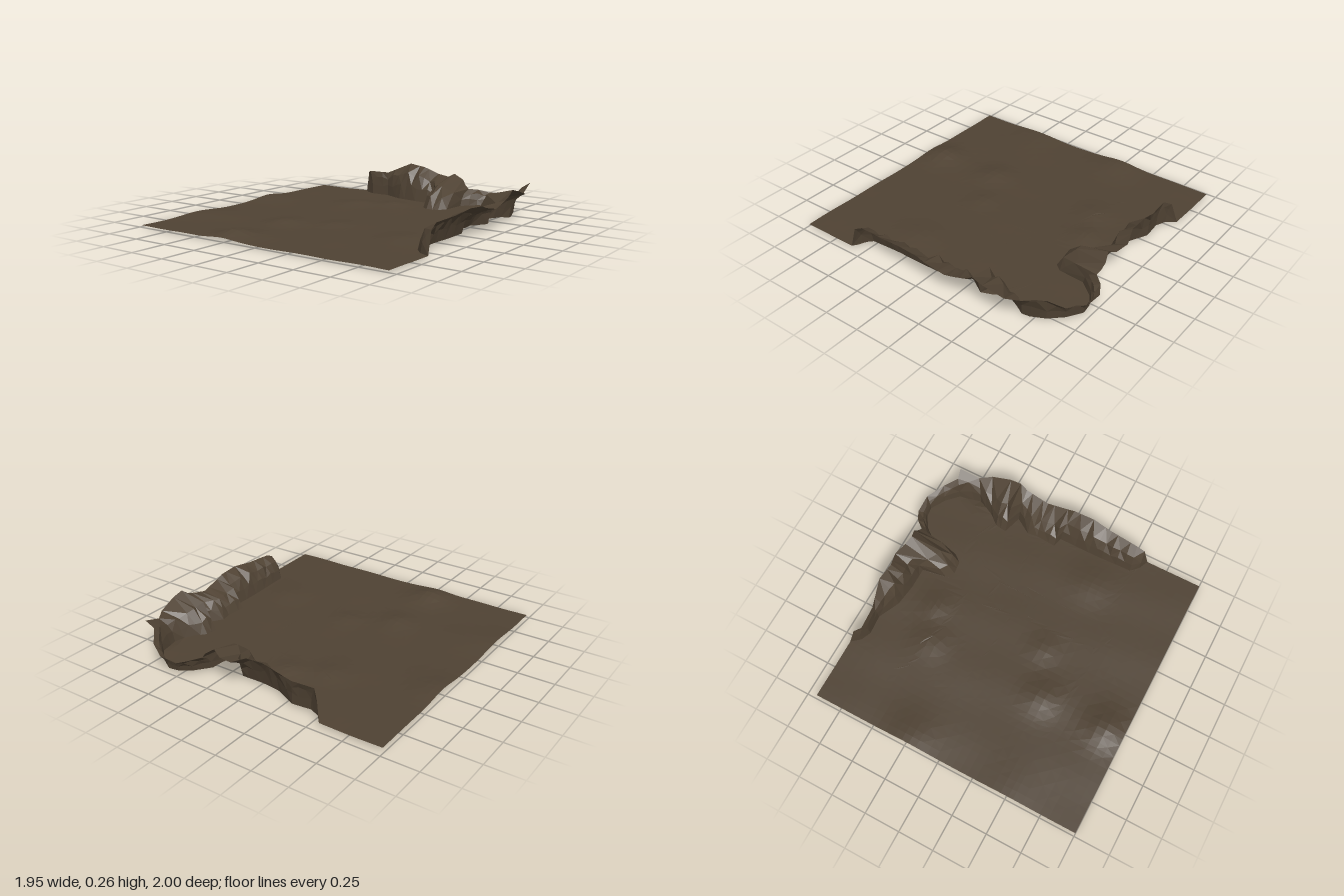
import * as THREE from 'three';

const LEFT = -0.98, FRONT = 1, STEP = 0.06;

// Back cliff stations: [foot x, foot z, rim x, rim z, rim height (0 = no cliff)]
const BACK = [
  [-0.98, -0.94, -0.98, -0.94, 0], [-0.55, -0.94, -0.55, -0.94, 0],
  [-0.5, -0.88, -0.51, -0.91, 0.18], [-0.43, -0.85, -0.47, -0.87, 0.2],
  [-0.3, -0.86, -0.31, -0.88, 0.2], [-0.15, -0.79, -0.13, -0.92, 0.28],
  [0, -0.77, 0, -0.91, 0.265], [0.15, -0.77, 0.1, -0.94, 0.22],
  [0.18, -0.6, 0.2, -0.92, 0.21], [0.23, -0.56, 0.26, -0.9, 0.24],
  [0.32, -0.57, 0.32, -0.92, 0.2], [0.36, -0.62, 0.35, -0.91, 0.16],
  [0.37, -0.8, 0.38, -0.9, 0.14], [0.45, -0.9, 0.43, -0.96, 0.13],
  [0.53, -0.95, 0.5, -1, 0.11], [0.6, -0.96, 0.63, -1, 0.12],
  [0.7, -0.9, 0.75, -0.93, 0.14], [0.78, -0.82, 0.82, -0.85, 0.2],
  [0.81, -0.72, 0.88, -0.86, 0.24],
];

// Side cliff stations, from the back corner to the front
const SIDE = [
  [0.81, -0.72, 0.88, -0.86, 0.24], [0.82, -0.67, 0.9, -0.72, 0.19],
  [0.76, -0.55, 0.95, -0.64, 0.2], [0.7, -0.48, 0.97, -0.5, 0.24],
  [0.69, -0.4, 0.965, -0.42, 0.26], [0.82, -0.36, 0.96, -0.37, 0.22],
  [0.75, -0.25, 0.96, -0.28, 0.19], [0.76, -0.18, 0.96, -0.2, 0.17],
  [0.75, -0.04, 0.97, -0.05, 0.2], [0.82, -0.02, 0.97, 0, 0.22],
  [0.82, 0.15, 0.97, 0.15, 0.23], [0.82, 0.3, 0.955, 0.3, 0.21],
  [0.83, 0.52, 0.94, 0.5, 0.2], [0.88, 0.57, 0.945, 0.56, 0.17],
  [0.95, 0.6, 0.95, 0.6, 0], [0.95, 1, 0.95, 1, 0],
];

// Low mounds and hollows in the ground: [x, z, height, radius]
const MOUNDS = [
  [-0.28, 0.87, 0.042, 0.13], [-0.28, 0.4, 0.025, 0.12], [-0.28, -0.45, 0.02, 0.12],
  [-0.05, -0.55, 0.018, 0.1], [0.6, 0.32, 0.015, 0.15], [-0.95, -0.25, 0.025, 0.16],
  [-0.92, 0.5, 0.015, 0.2], [0.02, 0.25, 0.015, 0.1], [0.85, -0.71, -0.025, 0.06],
];

function groundY(x, z) {
  let y = 0.028 + 0.003 * Math.sin(9 * x + 4 * z) * Math.cos(7 * z - 5 * x);
  for (const [mx, mz, h, r] of MOUNDS) {
    y += h * Math.exp(-((x - mx) ** 2 + (z - mz) ** 2) / (r * r));
  }
  return y;
}

// Add in-between stations so that ground and cliff share the same foot points
function refine(stations, axis) {
  const out = [];
  for (let i = 0; i + 1 < stations.length; i++) {
    const a = stations[i], b = stations[i + 1];
    const n = Math.max(1, Math.ceil(Math.abs(b[axis] - a[axis]) / STEP));
    for (let k = 0; k < n; k++) out.push(a.map((v, j) => v + (b[j] - v) * k / n));
  }
  out.push(stations[stations.length - 1]);
  return out;
}

// Surface through rows of points, all rows equally long
function sheet(name, rows, material) {
  const w = rows[0].length, index = [];
  for (let i = 0; i + 1 < rows.length; i++) {
    for (let j = 0; j + 1 < w; j++) {
      const a = i * w + j, b = a + 1, c = a + w, d = c + 1;
      if ((i + j) % 2) index.push(a, b, c, b, d, c);
      else index.push(a, b, d, a, d, c);
    }
  }
  const geometry = new THREE.BufferGeometry();
  geometry.setAttribute('position', new THREE.Float32BufferAttribute(rows.flat(2), 3));
  geometry.setIndex(index);
  geometry.computeVertexNormals();
  const mesh = new THREE.Mesh(geometry, material);
  mesh.name = name;
  return mesh;
}

// Cliff sheet: steep lower face, rough shoulder, gentler slope to the ragged rim
function cliff(name, stations, material) {
  const used = stations.filter((s, i) =>
    s[4] > 0 || stations[i - 1]?.[4] > 0 || stations[i + 1]?.[4] > 0);
  const columns = used.map(([fx, fz, rx, rz, h], i) => {
    const y0 = groundY(fx, fz), top = h > 0 ? h : y0;
    const end = i === 0 || i === used.length - 1;
    const rough = end ? 0 : 0.06 * Math.sin(i * 2.4);
    return [[0, 0], [0.14, 0.4 + rough], [0.4 + rough, 0.75 - rough], [1, 1]].map(
      ([t, s]) => [fx + (rx - fx) * t, y0 + (top - y0) * s, fz + (rz - fz) * t]);
  });
  return sheet(name, columns, material);
}

export function createModel() {
  const group = new THREE.Group();
  group.name = 'rockyTerrain';
  const rock = new THREE.MeshStandardMaterial({
    color: 0x4f4233, flatShading: true, side: THREE.DoubleSide,
  });

  const back = refine(BACK, 0), side = refine(SIDE, 1);
  const corner = BACK[BACK.length - 1];

  // Ground grid stretched between the straight edges and the feet of the cliffs
  const rows = side.map(([sx, sz]) => {
    const v = (FRONT - sz) / (FRONT - corner[1]);
    return back.map(([bx, bz]) => {
      const u = (bx - LEFT) / (corner[0] - LEFT);
      const x = LEFT + (sx - LEFT) * u;
      const z = FRONT + (bz - FRONT) * v;
      return [x, groundY(x, z), z];
    });
  }).reverse();
  group.add(sheet('ground', rows, rock));

  group.add(cliff('backCliff', back, rock));
  group.add(cliff('sideCliff', side, rock));
  return group;
}
